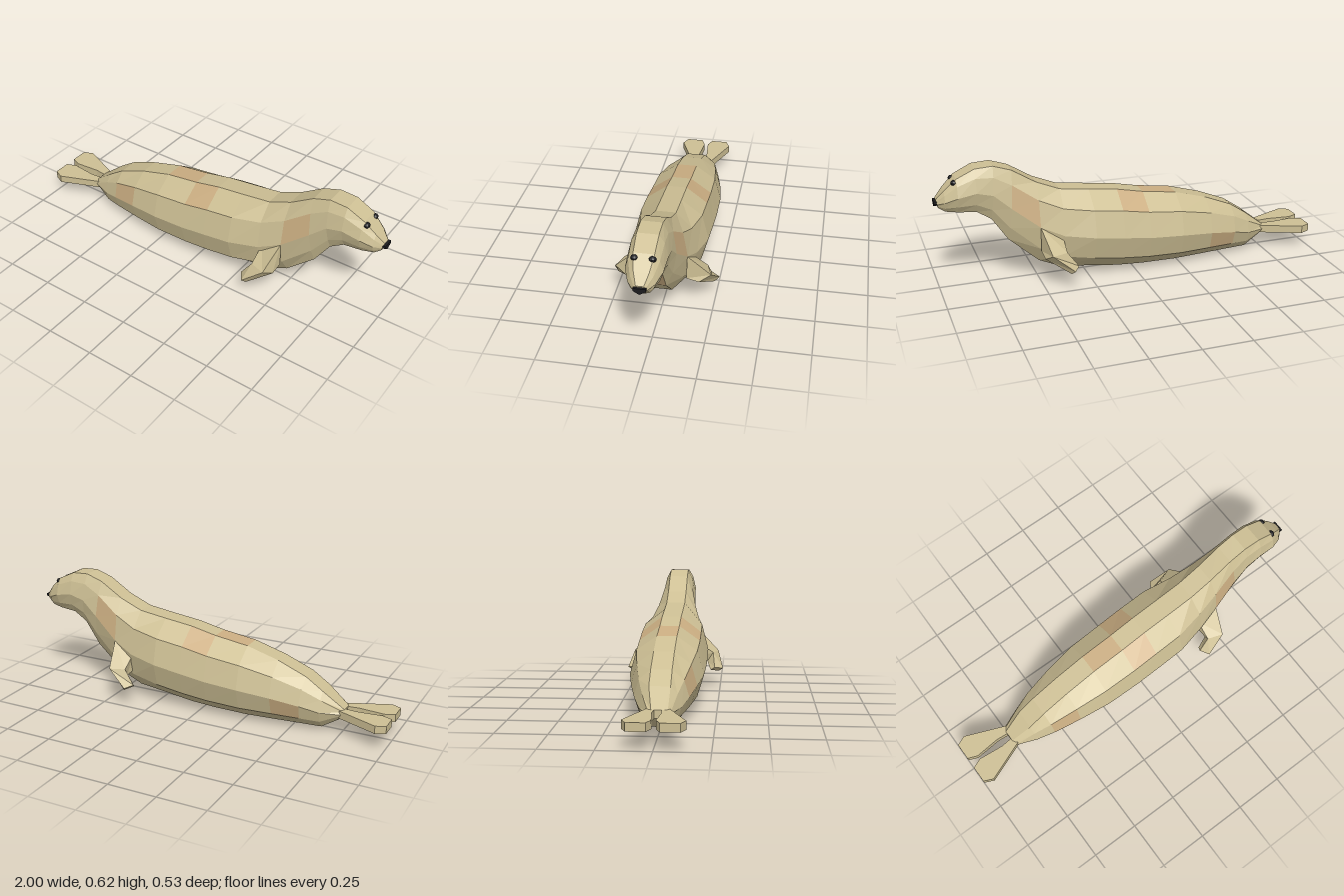
import * as THREE from 'three';

const mat = (color) => new THREE.MeshStandardMaterial({ color, flatShading: true, side: THREE.DoubleSide });
const coat = mat(0xcdbf94), patch = mat(0xcbae82), dark = mat(0x1b1b1e);

// Faceted skin between rings; pick(i, j) chooses which quads are kept
function loft(rings, pick = () => true, caps = true) {
  const pos = [];
  const n = rings[0].length;
  const tri = (a, b, c) => pos.push(...a, ...b, ...c);
  for (let i = 0; i < rings.length - 1; i++) {
    for (let j = 0; j < n; j++) {
      if (!pick(i, j)) continue;
      const k = (j + 1) % n;
      const a = rings[i][j], b = rings[i][k], c = rings[i + 1][k], d = rings[i + 1][j];
      tri(a, d, c);
      tri(a, c, b);
    }
  }
  if (caps) {
    const first = rings[0], last = rings[rings.length - 1];
    for (let j = 1; j < n - 1; j++) {
      tri(first[0], first[j], first[j + 1]);
      tri(last[0], last[j + 1], last[j]);
    }
  }
  const g = new THREE.BufferGeometry();
  g.setAttribute('position', new THREE.Float32BufferAttribute(pos, 3));
  g.computeVertexNormals();
  return g;
}

// Body stations, tail to snout: top x, top y, bottom x, bottom y, half width
const stations = [
  [-0.76, 0.125, -0.76, 0.085, 0.055],
  [-0.65, 0.21, -0.65, 0.02, 0.1],
  [-0.56, 0.27, -0.55, 0.015, 0.13],
  [-0.41, 0.33, -0.41, 0.008, 0.16],
  [-0.24, 0.378, -0.24, 0, 0.185],
  [-0.06, 0.403, -0.06, 0.002, 0.19],
  [0.08, 0.432, 0.08, 0.01, 0.19],
  [0.23, 0.45, 0.23, 0.03, 0.188],
  [0.38, 0.47, 0.39, 0.05, 0.155],
  [0.5, 0.52, 0.5, 0.1, 0.127],
  [0.62, 0.595, 0.65, 0.235, 0.098],
  [0.71, 0.625, 0.73, 0.355, 0.091],
  [0.8, 0.62, 0.8, 0.4, 0.091],
  [0.89, 0.577, 0.89, 0.408, 0.086],
  [0.95, 0.52, 0.95, 0.415, 0.063],
  [0.99, 0.475, 0.98, 0.432, 0.032],
];

// Ten-sided section: [width factor, height fraction] up one side, down the other
function bodyRing([tx, ty, bx, by, w]) {
  const flat = Math.min(0.05, 0.55 * w);
  const half = [[flat, 0], [0.82 * w, 0.2], [w, 0.49], [0.82 * w, 0.81], [flat, 1]]
    .map(([z, t]) => [bx + (tx - bx) * t, by + (ty - by) * t, z]);
  return [...half, ...half.slice().reverse().map(([x, y, z]) => [x, y, -z])];
}

// Front flipper rings at shoulder, elbow and tip
const flipperRings = [
  [[0.5, 0.305, 0.125], [0.5, 0.178, 0.12], [0.39, 0.16, 0.11], [0.39, 0.25, 0.12]],
  [[0.47, 0.19, 0.237], [0.495, 0.158, 0.18], [0.4, 0.14, 0.178], [0.39, 0.19, 0.21]],
  [[0.365, 0.107, 0.266], [0.38, 0.088, 0.243], [0.345, 0.1, 0.197], [0.335, 0.115, 0.22]],
];

// Rear flipper outline as [x, z]
const rearOutline = [[-0.74, 0.055], [-0.95, 0.14], [-1, 0.118], [-1, 0.03], [-0.95, 0.01], [-0.82, 0.022], [-0.74, 0.015]];

export function createModel() {
  const model = new THREE.Group();
  const add = (name, geometry, material) => {
    const m = new THREE.Mesh(geometry, material);
    m.name = name;
    model.add(m);
    return m;
  };

  // Body with a few browner facets, as station/side
  const rings = stations.map(bodyRing);
  const brown = new Set(['5/3', '5/5', '9/2', '9/6', '4/4', '10/9', '2/2', '2/7']);
  const isBrown = (i, j) => brown.has(`${i}/${j}`);
  add('body', loft(rings, (i, j) => !isBrown(i, j)), coat);
  add('coatPatches', loft(rings, isBrown, false), patch);

  // Nose
  const noseShape = new THREE.Shape([[-0.029, 0.468], [-0.029, 0.455], [0, 0.437], [0.029, 0.455], [0.029, 0.468]]
    .map(([x, y]) => new THREE.Vector2(x, y)));
  const nose = new THREE.ExtrudeGeometry(noseShape, { depth: 0.025, bevelEnabled: false });
  add('nose', nose.rotateY(Math.PI / 2).translate(0.975, 0, 0), dark);

  for (const s of [1, -1]) {
    const side = s > 0 ? 'Right' : 'Left';

    // Eye
    const eye = add('eye' + side, new THREE.SphereGeometry(1, 10, 8), dark);
    eye.scale.set(0.016, 0.014, 0.018);
    eye.position.set(0.9, 0.558, s * 0.04);

    // Front flipper
    const mirrored = flipperRings.map((r) => r.map(([x, y, z]) => [x, y, s * z]));
    if (s < 0) mirrored.forEach((r) => r.reverse());
    add('frontFlipper' + side, loft(mirrored), coat);

    // Rear flipper
    const shape = new THREE.Shape(rearOutline.map(([x, z]) => new THREE.Vector2(x, -s * z)));
    const fin = new THREE.ExtrudeGeometry(shape, { depth: 0.04, bevelEnabled: false });
    add('rearFlipper' + side, fin.rotateX(-Math.PI / 2).translate(0, 0.085, 0), coat);
  }
  return model;
}
